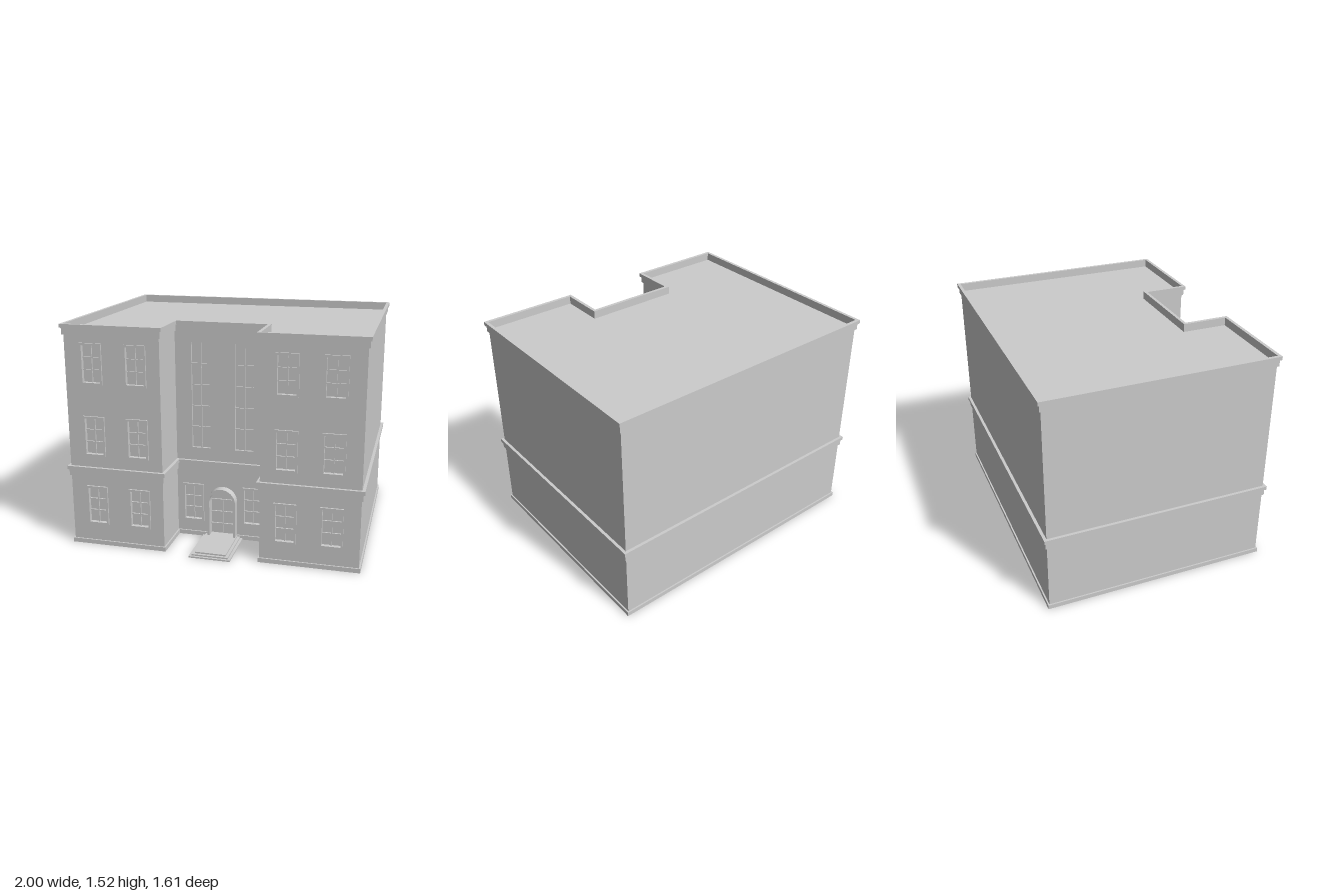
import * as THREE from 'three';

const X = 0.98, BACK = -0.785, FRONT = 0.743, RX = 0.328, RZ = 0.432;
const ROOF = 1.47, TOP = 1.525;

export function createModel() {
  const model = new THREE.Group();
  const mat = new THREE.MeshStandardMaterial({ color: 0xcccccc, side: THREE.DoubleSide, flatShading: true });

  const add = (parent, name, geo, x = 0, y = 0, z = 0) => {
    const m = new THREE.Mesh(geo, mat);
    m.name = name;
    m.position.set(x, y, z);
    parent.add(m);
    return m;
  };
  const box = (parent, name, w, h, d, x, y, z) => add(parent, name, new THREE.BoxGeometry(w, h, d), x, y, z);

  // U-shaped footprint grown outward by o, drawn as (x, -z)
  const footprint = (o) => [
    [-X - o, FRONT + o], [-RX + o, FRONT + o], [-RX + o, RZ + o], [RX - o, RZ + o],
    [RX - o, FRONT + o], [X + o, FRONT + o], [X + o, BACK - o], [-X - o, BACK - o],
  ].map(([x, z]) => new THREE.Vector2(x, -z));

  // Horizontal moulding that follows the footprint
  const band = (name, y0, y1, out, inner) => {
    const s = new THREE.Shape(footprint(out));
    s.holes.push(new THREE.Path(footprint(inner)));
    const g = new THREE.ExtrudeGeometry(s, { depth: y1 - y0, bevelEnabled: false });
    add(model, name, g.rotateX(-Math.PI / 2), 0, y0, 0);
  };
  band('plinth', 0, 0.03, 0.01, -0.005);
  band('middleCorniceLower', 0.49, 0.535, 0.01, -0.015);
  band('middleCorniceUpper', 0.535, 0.56, 0.02, -0.015);
  band('roofCorniceLower', 1.455, 1.5, 0.01, -0.002);
  band('roofParapet', 1.5, TOP, 0.02, -0.002);
  add(model, 'roof', new THREE.ShapeGeometry(new THREE.Shape(footprint(0))).rotateX(-Math.PI / 2), 0, ROOF, 0);

  const rect = (C, x, y, w, h) => new C([
    [x - w / 2, y], [x + w / 2, y], [x + w / 2, y + h], [x - w / 2, y + h],
  ].map(([a, b]) => new THREE.Vector2(a, b)));

  // Arch outline standing on y0
  const arch = (C, r, y0, spring) => {
    const p = new C();
    p.moveTo(-r, y0);
    p.lineTo(r, y0);
    p.lineTo(r, spring);
    p.absarc(0, spring, r, 0, Math.PI, false);
    p.lineTo(-r, y0);
    return p;
  };

  // Window with frame, pane and glazing bars; z is the wall plane
  const windowUnit = (name, x, y, z, w, h, rows, border, out) => {
    const g = new THREE.Group();
    g.name = name;
    g.position.set(x, y, z);
    model.add(g);
    const s = rect(THREE.Shape, 0, 0, w, h);
    s.holes.push(rect(THREE.Path, 0, border, w - 2 * border, h - 2 * border));
    add(g, 'windowFrame', new THREE.ExtrudeGeometry(s, { depth: 0.025 + out, bevelEnabled: false }), 0, 0, -0.025);
    add(g, 'windowPane', new THREE.PlaneGeometry(w - border, h - border), 0, h / 2, -0.017);
    const iw = w - 2 * border, ih = h - 2 * border;
    box(g, 'verticalBar', 0.007, ih, 0.014, 0, h / 2, -0.012);
    for (let i = 1; i < rows; i++)
      box(g, 'horizontalBar', iw, 0.007, 0.012, 0, border + ih * i / rows, -0.012);
  };

  // Front walls of the two wings, with window openings
  for (const side of [-1, 1]) {
    const wall = rect(THREE.Shape, side * (X + RX) / 2, 0, X - RX, 1.5);
    for (const y of [0.15, 0.64, 1.13])
      for (const x of [0.495, 0.797]) {
        wall.holes.push(rect(THREE.Path, side * x, y + 0.005, 0.14, 0.265));
        windowUnit('wingWindow', side * x, y, FRONT, 0.15, 0.275, 3, 0.014, 0.012);
      }
    add(model, 'wingFrontWall', new THREE.ShapeGeometry(wall), 0, 0, FRONT);

    // Outer side wall and the wall beside the entrance court
    add(model, 'sideWall', new THREE.PlaneGeometry(FRONT - BACK, 1.5).rotateY(side * Math.PI / 2),
      side * X, 0.75, (FRONT + BACK) / 2);
    add(model, 'courtSideWall', new THREE.PlaneGeometry(FRONT - RZ, 1.5).rotateY(-side * Math.PI / 2),
      side * RX, 0.75, (FRONT + RZ) / 2);
  }
  add(model, 'backWall', new THREE.PlaneGeometry(2 * X, 1.5).rotateY(Math.PI), 0, 0.75, BACK);

  // Recessed entrance wall
  const centre = rect(THREE.Shape, 0, 0, 2 * RX, 1.5);
  for (const side of [-1, 1]) {
    centre.holes.push(rect(THREE.Path, side * 0.213, 0.115, 0.14, 0.265));
    windowUnit('entranceWindow', side * 0.213, 0.11, RZ, 0.15, 0.275, 3, 0.014, 0.012);
    centre.holes.push(rect(THREE.Path, side * 0.151, 0.645, 0.14, 0.745));
    windowUnit('tallWindow', side * 0.151, 0.645, RZ, 0.14, 0.745, 5, 0.006, 0);
  }
  centre.holes.push(arch(THREE.Path, 0.09, 0.02, 0.277));
  add(model, 'entranceWall', new THREE.ShapeGeometry(centre), 0, 0, RZ);

  // Arched door with projecting surround
  const door = new THREE.Group();
  door.name = 'door';
  door.position.z = RZ;
  model.add(door);
  const surround = arch(THREE.Shape, 0.1, 0.01, 0.277);
  surround.holes.push(arch(THREE.Path, 0.084, 0.011, 0.277));
  add(door, 'doorSurround', new THREE.ExtrudeGeometry(surround, { depth: 0.08, bevelEnabled: false, curveSegments: 20 }), 0, 0, -0.022);
  add(door, 'doorPanel', new THREE.ShapeGeometry(arch(THREE.Shape, 0.09, 0.01, 0.277), 20), 0, 0, -0.01);
  box(door, 'doorVerticalBar', 0.007, 0.25, 0.014, 0, 0.152, -0.006);
  for (const y of [0.1, 0.19, 0.28])
    box(door, 'doorHorizontalBar', 0.168, 0.008, 0.014, 0, y, -0.006);

  // Entrance steps
  [[0.142, 0.8], [0.124, 0.785], [0.105, 0.766]].forEach(([hw, z], i) => {
    box(model, 'entranceStep', 2 * hw, 0.01, z - RZ, 0, 0.005 + 0.01 * i, (z + RZ) / 2);
  });

  return model;
}
